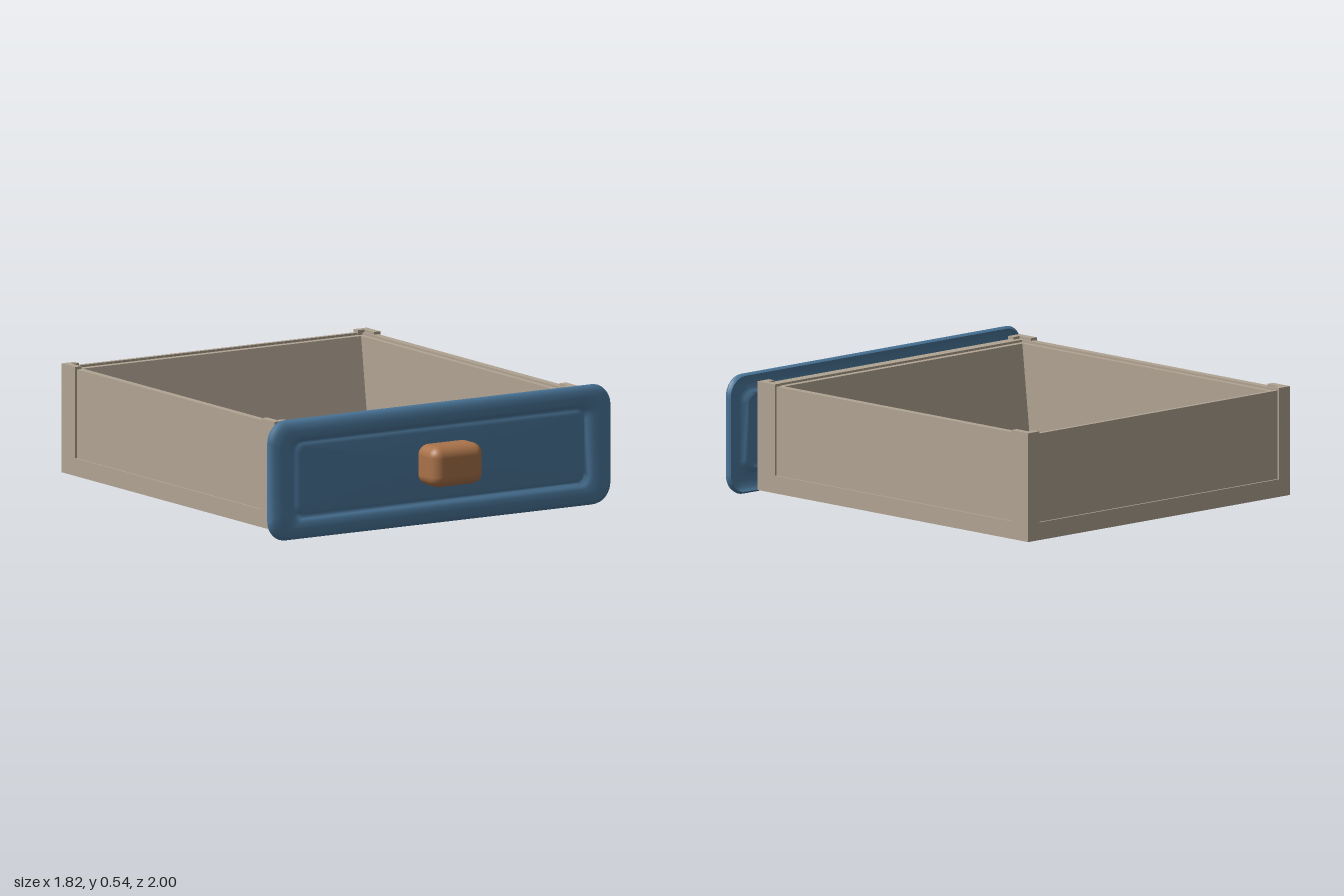
import * as THREE from 'three';
import { RoundedBoxGeometry } from 'three/addons/geometries/RoundedBoxGeometry.js';

const mat = (name, color, extra = {}) => {
  const m = new THREE.MeshStandardMaterial({ color, ...extra });
  m.name = name;
  return m;
};

// Box given by its limits on each axis
function block(parent, name, material, [x0, x1], [y0, y1], [z0, z1]) {
  const mesh = new THREE.Mesh(new THREE.BoxGeometry(x1 - x0, y1 - y0, z1 - z0), material);
  mesh.position.set((x0 + x1) / 2, (y0 + y1) / 2, (z0 + z1) / 2);
  mesh.name = name;
  parent.add(mesh);
}

// End wall: a side profile of [z, y] points swept across x
function endWall(parent, name, material, points, width) {
  const shape = new THREE.Shape(points.map(([z, y]) => new THREE.Vector2(-z, y)));
  const geo = new THREE.ExtrudeGeometry(shape, { depth: width, bevelEnabled: false });
  geo.rotateY(Math.PI / 2).translate(-width / 2, 0, 0);
  const mesh = new THREE.Mesh(geo, material);
  mesh.name = name;
  parent.add(mesh);
}

// Shell through rounded rectangles [halfWidth, halfHeight, radius, z], closed in the middle
function roundedShell(loops, cornerSteps = 8) {
  const pos = [], index = [], n = 4 * (cornerSteps + 1);
  for (const [w, h, r, z] of loops) {
    for (let c = 0; c < 4; c++) {
      const sx = c === 0 || c === 3 ? 1 : -1, sy = c < 2 ? 1 : -1;
      for (let i = 0; i <= cornerSteps; i++) {
        const a = (c + i / cornerSteps) * Math.PI / 2;
        pos.push(sx * (w - r) + r * Math.cos(a), sy * (h - r) + r * Math.sin(a), z);
      }
    }
  }
  for (let k = 0; k < loops.length - 1; k++) {
    for (let i = 0; i < n; i++) {
      const a = k * n + i, b = k * n + (i + 1) % n;
      index.push(a, b, b + n, a, b + n, a + n);
    }
  }
  const centre = pos.length / 3, last = (loops.length - 1) * n;
  pos.push(0, 0, loops[loops.length - 1][3]);
  for (let i = 0; i < n; i++) index.push(last + i, last + (i + 1) % n, centre);
  const geo = new THREE.BufferGeometry();
  geo.setAttribute('position', new THREE.Float32BufferAttribute(pos, 3));
  geo.setIndex(index);
  geo.computeVertexNormals();
  return geo;
}

export function createModel() {
  const model = new THREE.Group();
  model.name = 'drawer';
  const wood = mat('pale wood', 0xb0a392);
  const blue = mat('blue paint', 0x4b779b, { side: THREE.DoubleSide });
  const brown = mat('brown knob', 0xa97249);

  const box = new THREE.Group();
  box.name = 'drawerBox';
  model.add(box);
  const X = 0.81, Z0 = -1, Z1 = 0.73;

  // Floor, slightly recessed underneath
  block(box, 'floor', wood, [-0.77, 0.77], [0.04, 0.08], [-0.97, 0.7]);

  // Side walls with a stepped rim, skirt and bottom frame rail
  for (const s of [-1, 1]) {
    const span = (a, b) => (s > 0 ? [a, b] : [-b, -a]);
    block(box, 'sideWall', wood, span(0.765, 0.8), [0.04, 0.51], [-0.985, 0.715]);
    block(box, 'sideWallLining', wood, span(0.74, 0.768), [0.04, 0.5], [-0.97, 0.68]);
    block(box, 'sideSkirt', wood, span(0.76, X), [0.03, 0.11], [Z0, Z1]);
    block(box, 'bottomSideRail', wood, span(0.71, X), [0.03, 0.06], [Z0, Z1]);

    // L-shaped corner posts
    for (const [za, zb, zc, zd] of [[Z0, -0.89, Z0, -0.965], [0.62, Z1, 0.695, Z1]]) {
      block(box, 'cornerPostSide', wood, span(0.775, X), [0.03, 0.522], [za, zb]);
      block(box, 'cornerPostEnd', wood, span(0.74, X), [0.03, 0.522], [zc, zd]);
    }
  }

  // Front and back walls lean inwards towards the floor
  endWall(box, 'backWall', wood,
    [[-0.99, 0.04], [-0.99, 0.51], [-0.97, 0.51], [-0.97, 0.5], [-0.94, 0.5], [-0.88, 0.06], [-0.88, 0.04]], 1.58);
  endWall(box, 'frontWall', wood,
    [[0.72, 0.04], [0.72, 0.51], [0.668, 0.51], [0.668, 0.5], [0.64, 0.5], [0.59, 0.06], [0.59, 0.04]], 1.58);
  for (const [a, b, c, d] of [[Z0, -0.96, Z0, -0.9], [0.69, Z1, 0.63, Z1]]) {
    block(box, 'endSkirt', wood, [-X, X], [0.03, 0.11], [a, b]);
    block(box, 'bottomEndRail', wood, [-X, X], [0.03, 0.06], [c, d]);
  }

  // Thin front panel: rolled edge, raised border, groove and inset field
  const panel = new THREE.Mesh(roundedShell([
    [0.898, 0.262, 0.09, 0.81],
    [0.908, 0.272, 0.095, 0.822],
    [0.904, 0.268, 0.092, 0.836],
    [0.885, 0.25, 0.085, 0.847],
    [0.85, 0.222, 0.07, 0.851],
    [0.81, 0.195, 0.06, 0.849],
    [0.785, 0.18, 0.05, 0.842],
    [0.775, 0.17, 0.045, 0.828],
    [0.762, 0.16, 0.04, 0.833],
    [0.74, 0.145, 0.035, 0.838],
  ]), blue);
  panel.position.y = 0.273;
  panel.name = 'frontPanel';
  model.add(panel);

  // Knob
  const knob = new THREE.Mesh(new RoundedBoxGeometry(0.274, 0.185, 0.165, 6, 0.05), brown);
  knob.position.set(0, 0.282, 0.9175);
  knob.name = 'knob';
  model.add(knob);

  return model;
}
